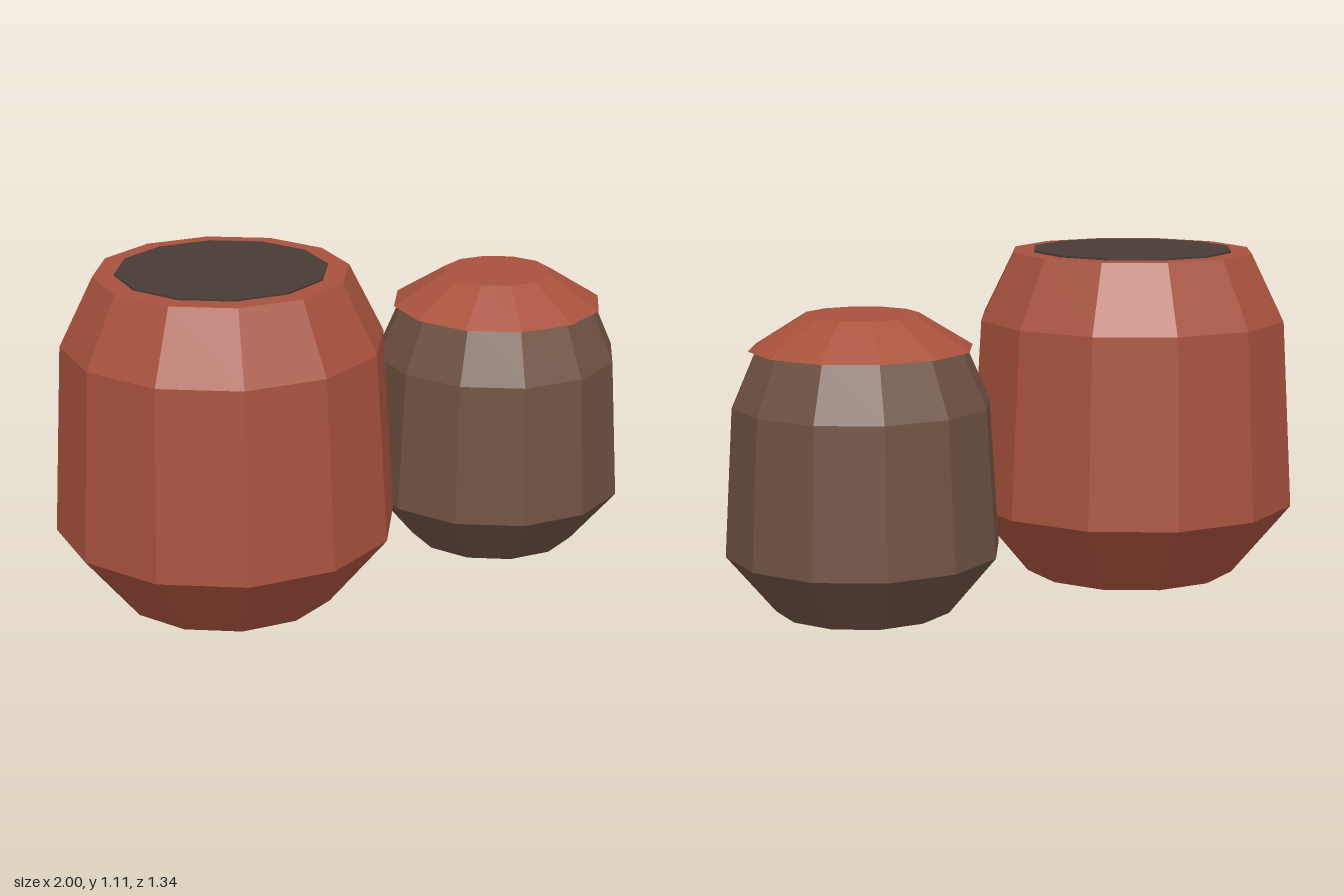
import * as THREE from 'three';

const SIDES = 12;
const mat = (name, color) => new THREE.MeshStandardMaterial({ name, color, flatShading: true });

// Faceted solid of revolution from [radius, height] pairs, bottom to top
function turned(name, profile, material) {
  const points = profile.map(([r, y]) => new THREE.Vector2(r, y));
  const mesh = new THREE.Mesh(new THREE.LatheGeometry(points, SIDES), material);
  mesh.name = name;
  return mesh;
}

export function createModel() {
  const terracotta = mat('terracotta', 0xa8523d);
  const brown = mat('brown clay', 0x6f5242);
  const dark = mat('dark opening', 0x483b35);

  // Large open pot
  const largePot = new THREE.Group();
  largePot.name = 'largePot';
  largePot.position.set(-0.437, 0, 0.106);
  largePot.add(
    turned('largePotBody',
      [[0, 0], [0.363, 0], [0.563, 0.245], [0.526, 0.875], [0.413, 1.102], [0, 1.102]], terracotta),
    turned('largePotOpening',
      [[0, 1.1], [0.343, 1.1], [0.343, 1.108], [0, 1.108]], dark),
  );

  // Small pot with a sloping lid
  const smallPot = new THREE.Group();
  smallPot.name = 'smallPot';
  smallPot.position.set(0.551, 0, -0.223);
  smallPot.add(
    turned('smallPotBody',
      [[0, 0], [0.288, 0], [0.446, 0.19], [0.416, 0.67], [0.333, 0.86], [0, 0.86]], brown),
    turned('smallPotLid',
      [[0, 0.848], [0.361, 0.848], [0.187, 0.956], [0, 0.956]], terracotta),
  );

  const model = new THREE.Group();
  model.name = 'pots';
  model.add(largePot, smallPot);
  return model;
}
